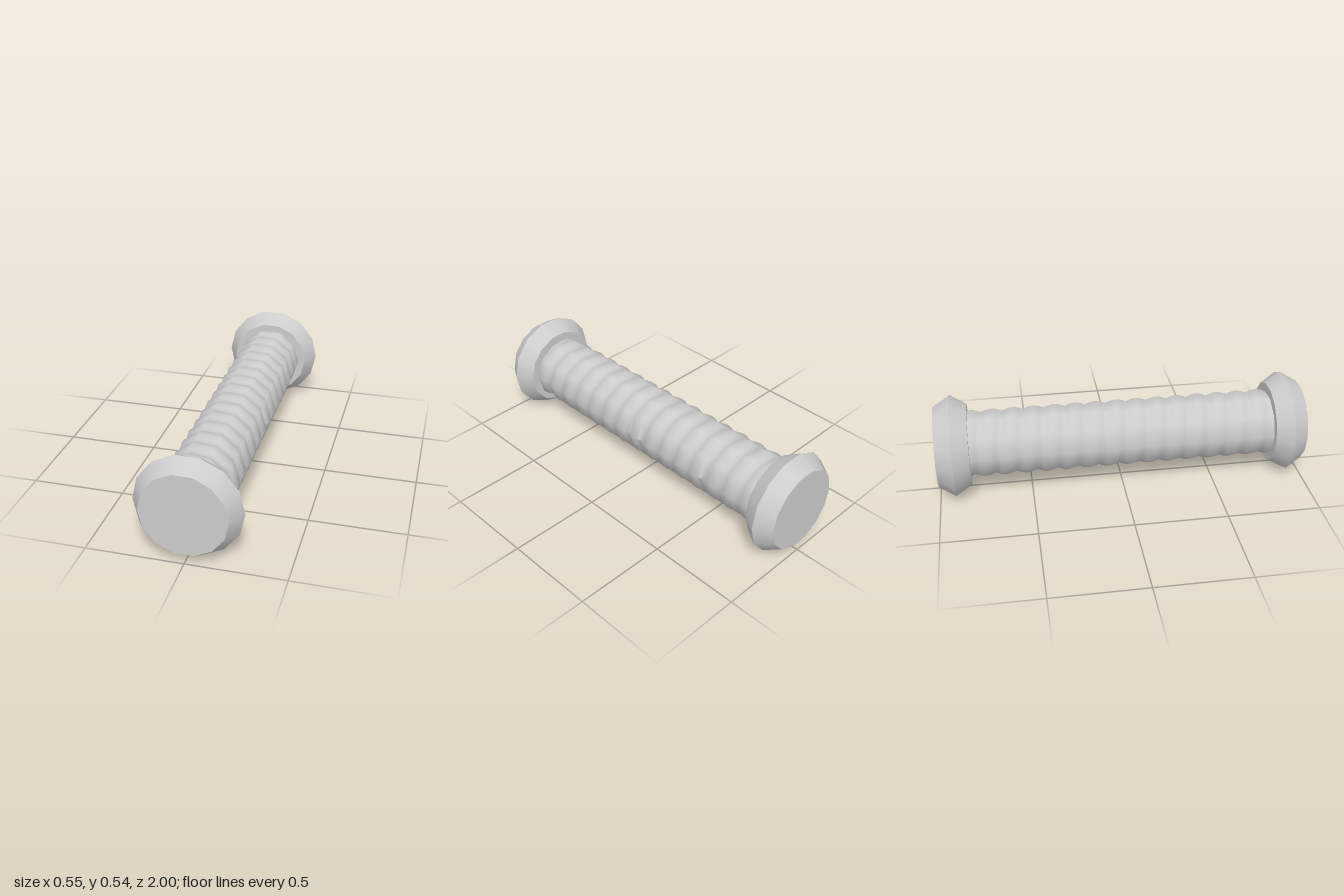
import * as THREE from 'three';
import { mergeGeometries, mergeVertices } from 'three/addons/utils/BufferGeometryUtils.js';

const CENTER_Y = 0.27;

// Bevelled end cap: each band is its own lathe so edges between bands stay sharp
function capGeometry() {
  const h = 0.0875;
  const profile = [[0, -h], [0.22, -h], [0.275, 0], [0.22, h], [0, h]].map(([r, y]) => new THREE.Vector2(r, y));
  const bands = [];
  for (let i = 0; i < profile.length - 1; i++) {
    bands.push(new THREE.LatheGeometry([profile[i], profile[i + 1]], 14, Math.PI / 2));
  }
  return mergeGeometries(bands).rotateX(Math.PI / 2);
}

// Ten-sided shaft with one rounded rib winding along it; ends are hidden in the caps
function gripGeometry() {
  const pitch = 0.1125, turns = 16, samples = 6;
  const geo = new THREE.CylinderGeometry(1, 1, 1, 10, turns * samples, true);
  const pos = geo.attributes.position, uv = geo.attributes.uv;
  for (let i = 0; i < pos.count; i++) {
    const angle = uv.getX(i) * Math.PI * 2;
    const t = uv.getY(i) * turns;
    const r = 0.17 + 0.015 * Math.abs(Math.sin(Math.PI * t));
    const z = -0.84 + pitch * (t - uv.getX(i));
    pos.setXYZ(i, r * Math.cos(angle), r * Math.sin(angle), z);
  }
  geo.deleteAttribute('uv');
  geo.deleteAttribute('normal');
  const welded = mergeVertices(geo, 1e-4);
  welded.computeVertexNormals();
  return welded;
}

export function createModel() {
  const group = new THREE.Group();
  group.name = 'ribbedBar';
  const grey = new THREE.MeshStandardMaterial({ color: 0xcccccc });
  grey.name = 'light grey';

  const add = (name, geometry, z) => {
    const mesh = new THREE.Mesh(geometry, grey);
    mesh.name = name;
    mesh.position.set(0, CENTER_Y, z);
    group.add(mesh);
  };

  const cap = capGeometry();
  add('frontCap', cap, 0.9125);
  add('backCap', cap, -0.9125);
  add('ribbedShaft', gripGeometry(), 0);
  return group;
}
